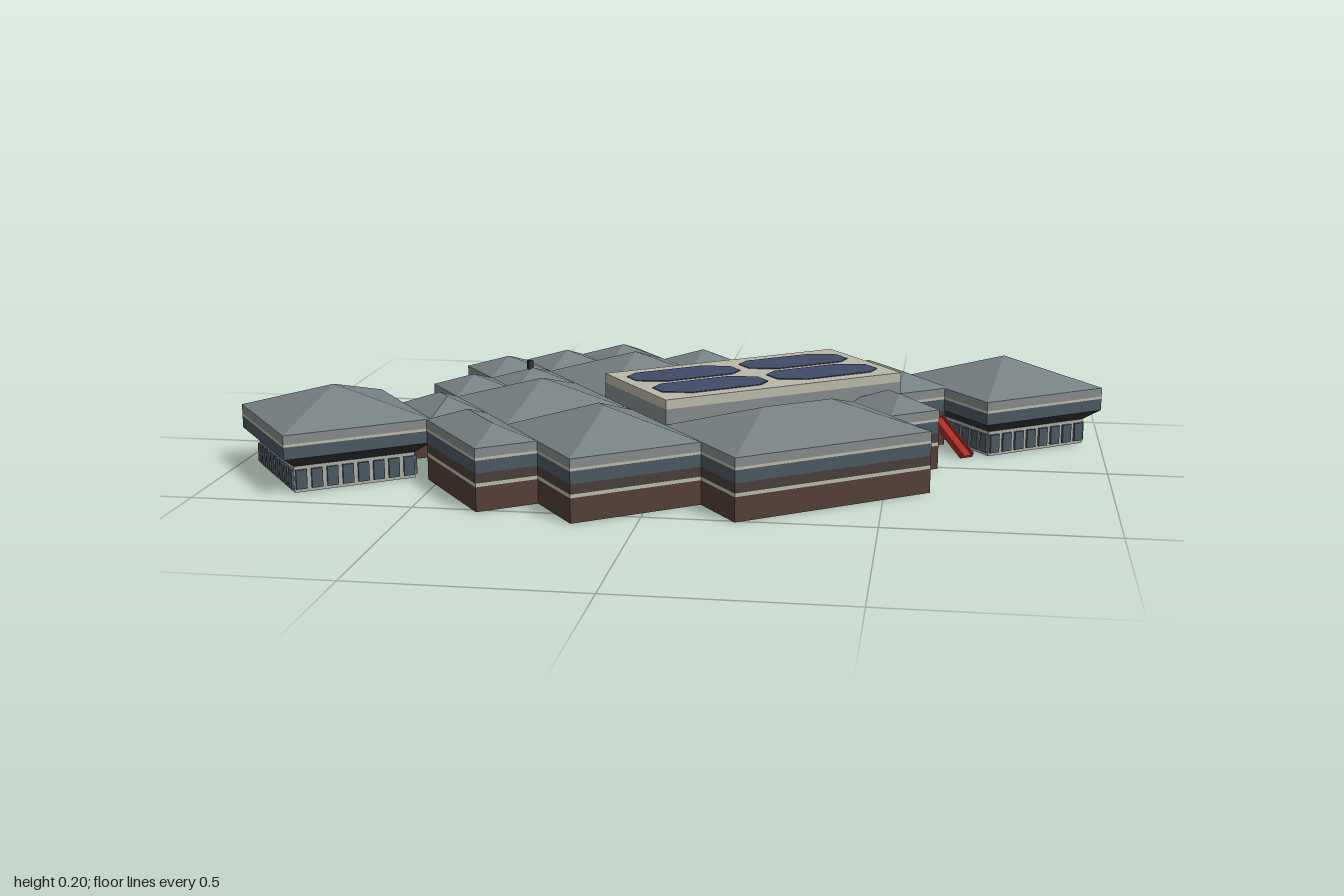
import * as THREE from 'three';

const mat = (name, color) => new THREE.MeshStandardMaterial({ name, color, side: THREE.DoubleSide, flatShading: true });

export function createModel() {
  const M = {
    roof: mat('roof grey', 0x778083),
    fascia: mat('fascia grey', 0x858a8a),
    cream: mat('cream trim', 0xb9b8a9),
    slate: mat('slate cladding', 0x4c5762),
    umber: mat('dark umber band', 0x483e3b),
    brick: mat('brown brick', 0x543f37),
    soffit: mat('dark soffit', 0x303234),
    wall: mat('pale wall', 0xaaaca4),
    navy: mat('navy panel', 0x414b68),
    red: mat('red slide', 0xa52c25),
  };
  const root = new THREE.Group();
  root.name = 'building';
  // The plan is laid out on its own axes, then turned on the site
  const plan = new THREE.Group();
  plan.name = 'plan';
  plan.rotation.y = THREE.MathUtils.degToRad(36);
  root.add(plan);

  const add = (name, geo, material, parent = plan) => {
    const m = new THREE.Mesh(geo, material);
    m.name = name;
    parent.add(m);
    return m;
  };
  const soup = (pos) => {
    const g = new THREE.BufferGeometry();
    g.setAttribute('position', new THREE.Float32BufferAttribute(pos.flat(), 3));
    g.computeVertexNormals();
    return g;
  };
  const quad = (a, b, c, d) => [a, b, c, a, c, d];

  // Vertical or sloping strip between two plan polylines
  const band = (name, low, high, y0, y1, material, parent) => {
    const pos = [];
    for (let i = 0; i < low.length - 1; i++) {
      const P = (p, y) => [p[0], y, p[1]];
      pos.push(...quad(P(low[i], y0), P(low[i + 1], y0), P(high[i + 1], y1), P(high[i], y1)));
    }
    return add(name, soup(pos), material, parent);
  };
  // Closed rectangle running anticlockwise seen from above
  const rect = (u0, u1, v0, v1, inset = 0) => {
    const [a, b, c, d] = [u0 + inset, u1 - inset, v0 + inset, v1 - inset];
    return [[a, d], [b, d], [b, c], [a, c], [a, d]];
  };
  // Hipped roof, a pyramid on square plans
  const hip = (name, u0, u1, v0, v1, top) => {
    const e = 0.14, w = u1 - u0, d = v1 - v0, r = Math.min(w, d) / 2;
    const cu = (u0 + u1) / 2, cv = (v0 + v1) / 2;
    const A = [u0, e, v1], B = [u1, e, v1], C = [u1, e, v0], D = [u0, e, v0];
    if (w >= d) {
      const L = [Math.min(u0 + r, cu), top, cv], R = [Math.max(u1 - r, cu), top, cv];
      return add(name, soup([...quad(A, B, R, L), ...quad(C, D, L, R), B, C, R, D, A, L]), M.roof);
    }
    const F = [cu, top, v1 - r], K = [cu, top, v0 + r];
    return add(name, soup([A, B, F, C, D, K, ...quad(B, C, K, F), ...quad(D, A, F, K)]), M.roof);
  };
  // Row of thin window plates along a wall
  const windows = (p, q, n, parent) => {
    const dx = q[0] - p[0], dz = q[1] - p[1], len = Math.hypot(dx, dz);
    for (let i = 0; i < n; i++) {
      const t = (i + 0.5) / n;
      const m = add('window', new THREE.BoxGeometry(len / n * 0.7, 0.044, 0.006), M.slate, parent);
      m.position.set(p[0] + dx * t, 0.03, p[1] + dz * t);
      m.rotation.y = -Math.atan2(dz, dx);
    }
  };
  const upperBands = (line, parent) => {
    band('slateCladding', line, line, 0.085, 0.113, M.slate, parent);
    band('creamTrim', line, line, 0.113, 0.119, M.cream, parent);
    band('fascia', line, line, 0.119, 0.14, M.fascia, parent);
  };
  const lowerBands = (line) => {
    band('brickWall', line, line, 0, 0.055, M.brick);
    band('creamStripe', line, line, 0.055, 0.063, M.cream);
  };

  // Stepped outer walls, front run and back run between the wings
  const front = [[-0.58, -0.085], [-0.59, -0.085], [-0.59, 0.21], [-0.446, 0.21], [-0.446, 0.38], [-0.137, 0.38],
    [-0.137, 0.53], [0.357, 0.53], [0.357, 0.37], [0.49, 0.37], [0.49, 0.19], [0.635, 0.19]];
  const backRight = [[0.635, 0.03], [0.645, 0.03], [0.645, -0.125], [0.49, -0.125], [0.49, -0.28], [0.337, -0.28],
    [0.337, -0.43], [0.187, -0.43], [0.187, -0.585]];
  const backLeft = [[-0.296, -0.585], [-0.296, -0.425], [-0.446, -0.425], [-0.446, -0.27], [-0.58, -0.27]];
  for (const line of [front, [...backRight, ...backLeft]]) {
    band('umberBand', line, line, 0.063, 0.085, M.umber);
    upperBands(line);
  }
  lowerBands(front);
  lowerBands([...backRight, [0.135, -0.585], [0.135, -0.55]]);
  lowerBands([[-0.245, -0.55], [-0.245, -0.585], ...backLeft]);

  // Recessed window wall between the rear piers
  const porch = [[0.135, -0.55], [-0.245, -0.55]];
  band('rearWall', porch, porch, 0, 0.063, M.wall);
  band('rearSoffit', porch, [[0.135, -0.585], [-0.245, -0.585]], 0.063, 0.064, M.soffit);
  windows([0.135, -0.553], [-0.245, -0.553], 10);

  // Two glazed end wings with tapered soffits
  for (const [name, ...r] of [['leftWing', 0.632, 0.972, 0.025, 0.362], ['rightWing', -0.92, -0.58, -0.425, -0.085]]) {
    const g = new THREE.Group();
    g.name = name;
    plan.add(g);
    const outer = rect(...r), inner = rect(...r, 0.03);
    upperBands(outer, g);
    band('taperedSoffit', inner, outer, 0.06, 0.085, M.soffit, g);
    band('paleWall', inner, inner, 0, 0.06, M.wall, g);
    const face = rect(...r, 0.027);
    for (let i = 0; i < 4; i++) windows(face[i], face[i + 1], 8, g);
    hip(name + 'Roof', ...r, 0.205);
  }

  // Large roofs
  hip('rearMainRoof', -0.137, 0.187, -0.43, -0.105, 0.205);
  hip('sideMainRoof', -0.446, -0.137, -0.27, 0.04, 0.2);
  hip('frontSideRoof', -0.446, -0.137, 0.04, 0.38, 0.205);
  hip('frontMainRoof', -0.137, 0.357, 0.21, 0.53, 0.198);
  // Small stepped roofs around the edge
  for (let i = 0; i < 3; i++) hip('rearSmallRoof', -0.296 + i * 0.161, -0.135 + i * 0.161, -0.585, -0.425, 0.173);
  const small = [
    [-0.446, -0.296, -0.425, -0.27], [-0.296, -0.137, -0.425, -0.27], [0.187, 0.337, -0.43, -0.28],
    [0.187, 0.49, -0.28, -0.105], [0.49, 0.645, -0.125, 0.19], [0.357, 0.49, 0.19, 0.37],
    [-0.58, -0.446, -0.27, -0.085], [-0.59, -0.446, -0.085, 0.21],
  ];
  small.forEach((s) => hip('smallRoof', ...s, 0.172));

  // Raised flat roof with four chamfered panels
  const deck = rect(-0.135, 0.49, -0.105, 0.21);
  band('deckWall', deck, deck, 0.135, 0.175, M.fascia);
  band('deckEdge', deck, deck, 0.175, 0.197, M.cream);
  add('deck', new THREE.BoxGeometry(0.625, 0.005, 0.315), M.cream).position.set(0.1775, 0.1945, 0.0525);
  for (const su of [-1, 1]) for (const sv of [-1, 1]) {
    const w = 0.135, d = 0.056;
    const s = new THREE.Shape([[-w, -0.02], [-w + 0.06, -d], [w - 0.035, -d], [w, -0.03],
      [w, 0.02], [w - 0.06, d], [-w + 0.035, d], [-w, 0.03]].map(([x, y]) => new THREE.Vector2(x, y)));
    const p = add('roofPanel', new THREE.ExtrudeGeometry(s, { depth: 0.008, bevelEnabled: false }), M.navy);
    p.rotation.x = -Math.PI / 2;
    p.position.set(0.1775 + su * 0.15, 0.191, 0.0525 + sv * 0.066);
  }

  // Slide beside the left wing
  const slide = new THREE.Group();
  slide.name = 'slide';
  slide.position.set(0.605, 0.037, 0.262);
  slide.rotation.x = Math.atan2(0.068, 0.13);
  plan.add(slide);
  add('slideBed', new THREE.BoxGeometry(0.03, 0.006, 0.142), M.red, slide);
  for (const s of [-1, 1]) add('slideRail', new THREE.BoxGeometry(0.004, 0.014, 0.142), M.red, slide).position.set(s * 0.015, 0.003, 0);

  // Roof vent
  add('vent', new THREE.BoxGeometry(0.012, 0.04, 0.012), M.soffit).position.set(-0.222, 0.17, -0.354);
  return root;
}
